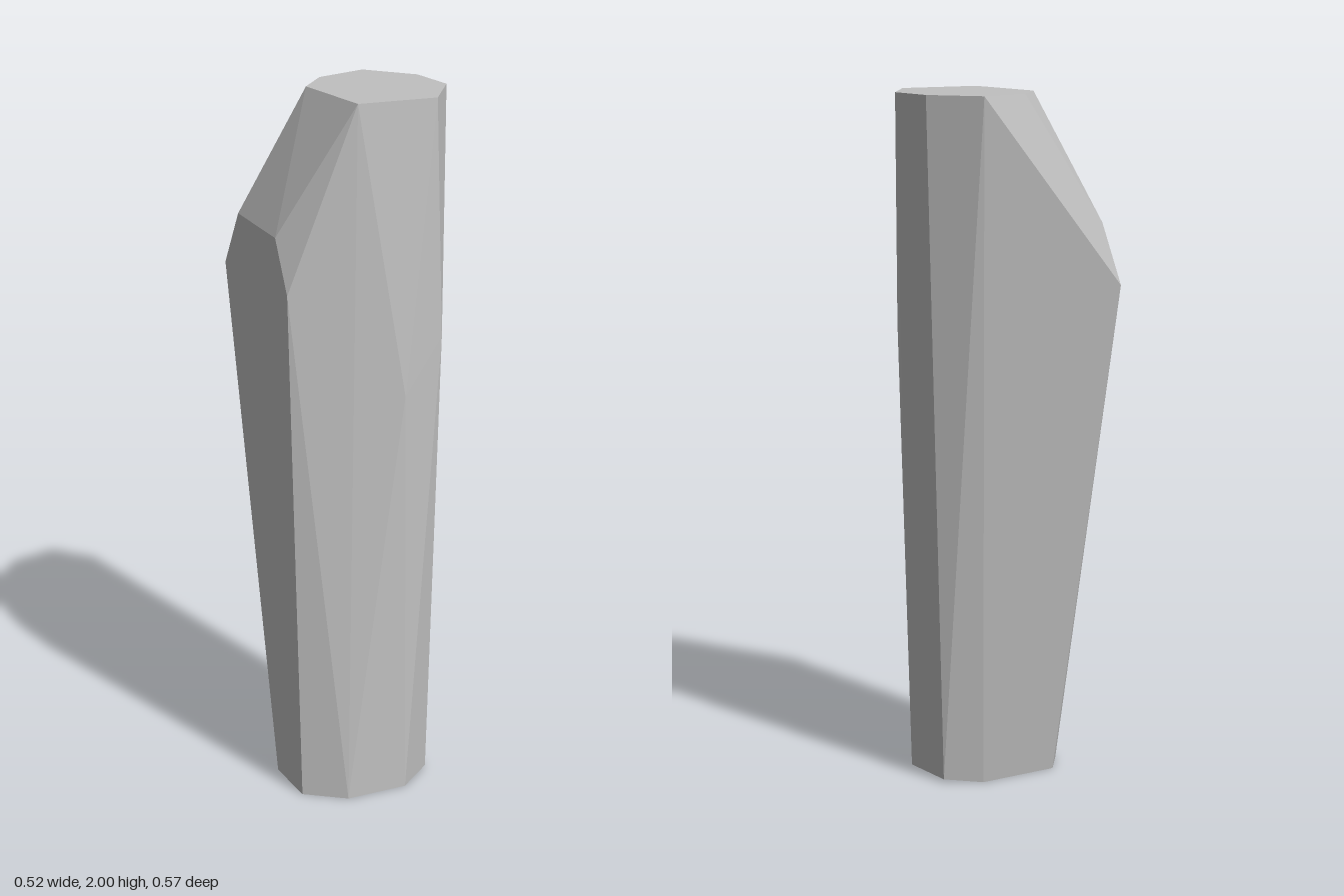
import * as THREE from 'three';
import { ConvexGeometry } from 'three/addons/geometries/ConvexGeometry.js';

// Faceted stone pillar: the convex skin around three rings of corners.
export function createModel() {
  const group = new THREE.Group();
  group.name = 'stonePillar';

  const stone = new THREE.MeshStandardMaterial({ color: 0xc0c0c0 });
  stone.name = 'grey stone';

  // Flat top, shifted towards +x
  const top = [[-0.015, -0.175], [0.137, -0.212], [0.245, -0.085], [0.26, 0.058],
    [0.157, 0.199], [-0.07, 0.175], [-0.1, -0.083]].map(([x, z]) => [x, 2, z]);

  // Chipped shoulders
  const shoulders = [[-0.26, 1.47, -0.288], [-0.26, 1.635, -0.193], [-0.26, 1.625, 0.053],
    [-0.26, 1.48, 0.127], [0.032, 1.19, 0.265], [0.17, 1.33, 0.215]];

  // Foot, shifted towards -x and the front
  const foot = [[-0.26, 0, 0.2], [-0.153, 0, 0.283], [0.028, 0, 0.287], [0.14, 0, 0.2],
    [0.14, 0.01, 0.012], [0.04, 0, -0.045], [-0.2, 0, -0.045], [-0.26, 0, 0.033]];

  const corners = [...top, ...shoulders, ...foot].map((p) => new THREE.Vector3(...p));
  const pillar = new THREE.Mesh(new ConvexGeometry(corners), stone);
  pillar.name = 'pillar';
  group.add(pillar);
  return group;
}
